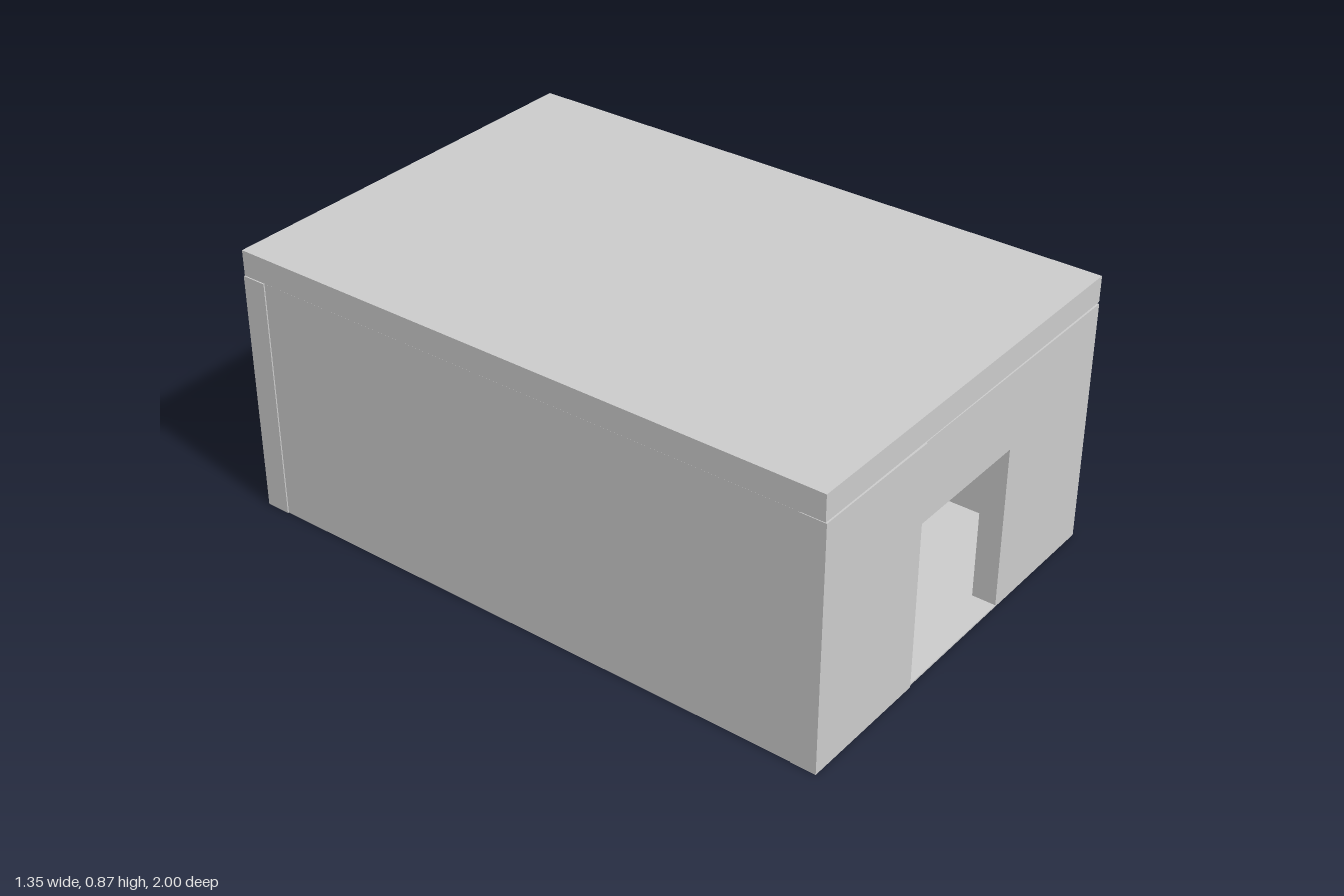
import * as THREE from 'three';

const W = 0.67;      // half width
const T = 0.08;      // wall thickness
const H = 0.783;     // wall height
const DOOR = 0.225;  // half width of the doorway
const DOOR_H = 0.53;

export function createModel() {
  const group = new THREE.Group();
  const material = new THREE.MeshStandardMaterial({ color: 0xcccccc, flatShading: true });

  // Box given by its lower and upper corners
  const block = (name, [x0, y0, z0], [x1, y1, z1]) => {
    const mesh = new THREE.Mesh(new THREE.BoxGeometry(x1 - x0, y1 - y0, z1 - z0), material);
    mesh.position.set((x0 + x1) / 2, (y0 + y1) / 2, (z0 + z1) / 2);
    mesh.name = name;
    group.add(mesh);
    return mesh;
  };

  // Thin floor between the walls
  block('floor', [-W + T, 0, -0.915], [W - T, 0.005, 0.996]);

  // Side walls and back wall, the back a hair wider
  block('leftWall', [W - T, 0, -0.92], [W, H, 0.92]);
  block('rightWall', [-W, 0, -0.92], [-W + T, H, 0.92]);
  block('backWall', [-W - 0.004, 0, -1], [W + 0.004, H, -0.92]);

  // Front wall: two piers and a lintel over the doorway
  block('frontRightPier', [-W - 0.002, 0, 0.92], [-DOOR, H, 1]);
  block('frontLeftPier', [DOOR, 0, 0.92], [W, H, 0.996]);
  block('doorLintel', [-DOOR, DOOR_H, 0.92], [DOOR, H, 0.996]);

  // Flat roof slab, tilted very slightly up towards the left
  const roof = block('roof', [-W, 0.786, -1], [W, 0.868, 0.995]);
  roof.rotation.z = 0.0055;

  return group;
}
